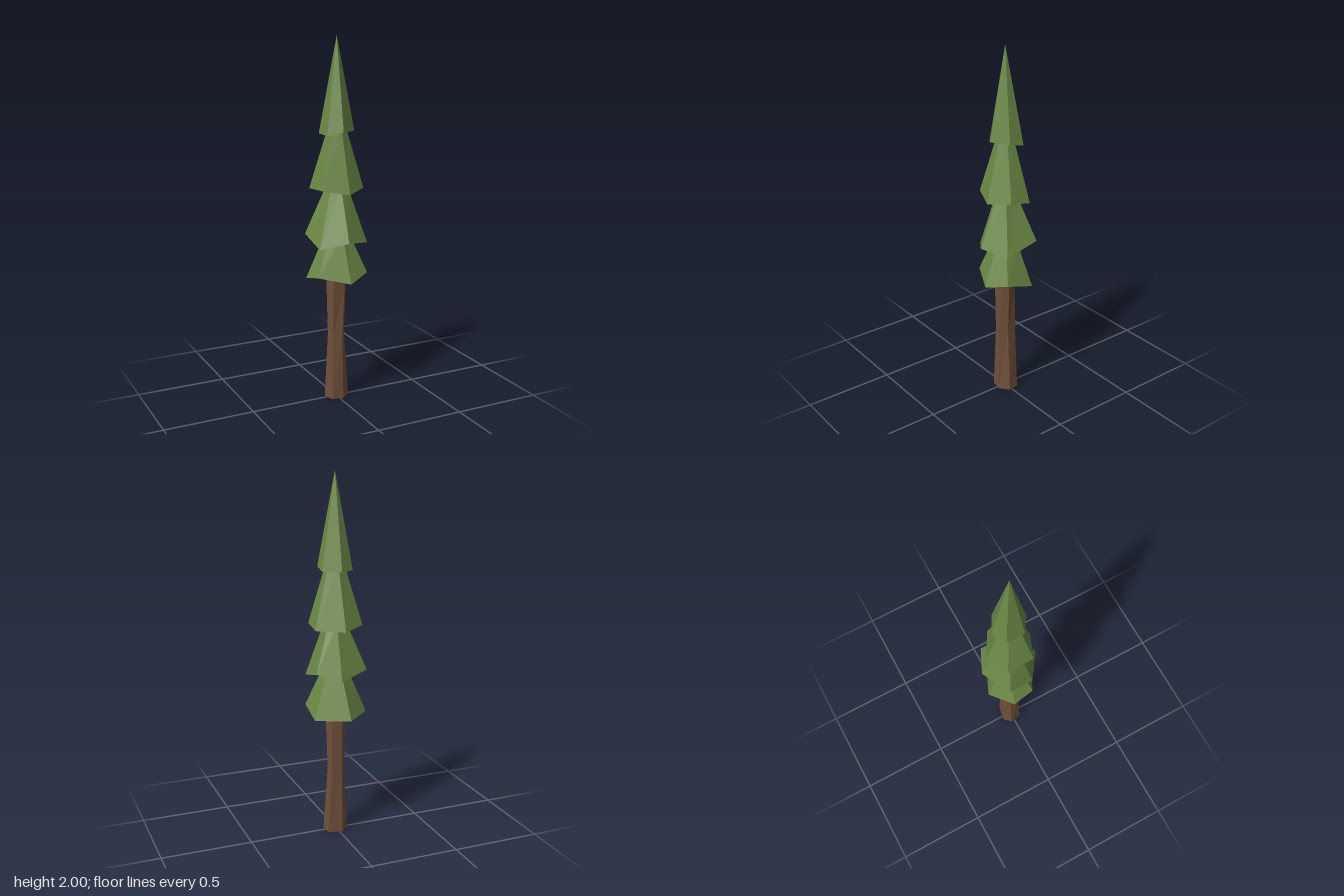
import * as THREE from 'three';

// Faceted solid lofted through rings of [x, y, z] corners, capped at both ends.
// Corners run from the front (+z) round by the right (-x).
function loft(name, rings, color, baseLift = 0) {
  const pos = [];
  const tri = (a, b, c) => pos.push(...a, ...b, ...c);
  const centre = (ring) => [0, 1, 2].map((k) => ring.reduce((s, p) => s + p[k], 0) / ring.length);
  const n = rings[0].length;
  const bottom = rings[0], top = rings[rings.length - 1];
  const low = centre(bottom), high = centre(top);
  low[1] += baseLift;
  for (let i = 0; i < n; i++) {
    const j = (i + 1) % n;
    for (let r = 0; r < rings.length - 1; r++) {
      const a = rings[r], b = rings[r + 1];
      tri(a[j], a[i], b[i]);
      tri(a[j], b[i], b[j]);
    }
    tri(low, bottom[i], bottom[j]);
    tri(high, top[j], top[i]);
  }
  const geometry = new THREE.BufferGeometry();
  geometry.setAttribute('position', new THREE.Float32BufferAttribute(pos, 3));
  geometry.computeVertexNormals();
  const mesh = new THREE.Mesh(geometry, new THREE.MeshStandardMaterial({ color, flatShading: true }));
  mesh.name = name;
  return mesh;
}

const GREEN = 0x6b8845;
const BROWN = 0x70503a;

// Uneven hexagonal skirts, each narrowing to a scaled copy of its base
const TIERS = [
  { name: 'lowestBranches', topY: 0.95, scale: 0.38, base: [
    [0.02, 0.69, 0.147], [-0.14, 0.725, 0.07], [-0.154, 0.697, -0.055],
    [-0.028, 0.683, -0.155], [0.15, 0.682, -0.075], [0.145, 0.728, 0.09]] },
  { name: 'lowerBranches', topY: 1.21, scale: 0.33, base: [
    [0, 0.92, 0.16], [-0.13, 0.88, 0.07], [-0.148, 0.94, -0.08],
    [0.028, 0.91, -0.16], [0.15, 0.948, -0.102], [0.144, 0.897, 0.09]] },
  { name: 'upperBranches', topY: 1.52, scale: 0.33, base: [
    [0.02, 1.175, 0.13], [-0.12, 1.2, 0.075], [-0.122, 1.19, -0.078],
    [0, 1.172, -0.145], [0.14, 1.175, -0.06], [0.135, 1.195, 0.06]] },
  { name: 'treetop', topY: 2, scale: 0, base: [
    [0, 1.505, 0.092], [-0.072, 1.483, 0.045], [-0.072, 1.485, -0.06],
    [0.005, 1.483, -0.102], [0.096, 1.485, -0.05], [0.092, 1.5, 0.035]] },
];

export function createModel() {
  const tree = new THREE.Group();
  tree.name = 'pineTree';

  // Trunk: flared foot, narrow waist, slightly wider below the branches
  const foot = [[0.02, 0.055], [-0.045, 0.045], [-0.06, -0.02], [-0.018, -0.06], [0.06, -0.045], [0.07, 0.015]];
  const waist = [[0.015, 0.05], [-0.035, 0.035], [-0.04, -0.02], [-0.015, -0.05], [0.04, -0.045], [0.045, 0.01]];
  const neck = [[0.03, 0.045], [-0.035, 0.04], [-0.052, -0.01], [-0.02, -0.045], [0.04, -0.04], [0.055, 0.01]];
  const ring = (points, y) => points.map(([x, z]) => [x, y, z]);
  tree.add(loft('trunk', [ring(foot, 0), ring(waist, 0.37), ring(neck, 0.64), ring(neck, 0.76)], BROWN));

  // Foliage tiers, hollowed a little underneath
  for (const { name, topY, scale, base } of TIERS) {
    const top = base.map(([x, , z]) => [0.005 + x * scale, topY, z * scale]);
    tree.add(loft(name, [base, top], GREEN, 0.02));
  }
  return tree;
}
